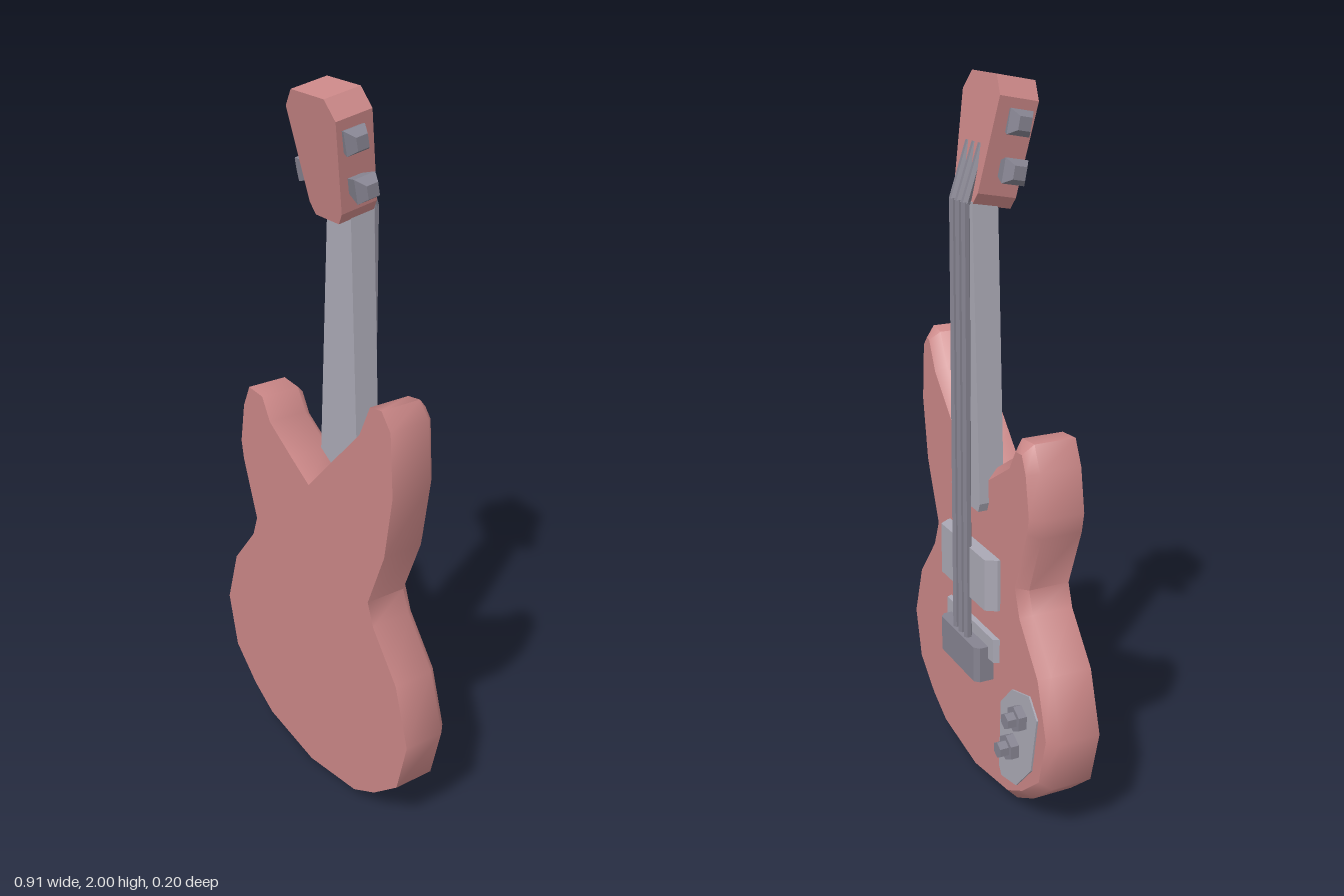
import * as THREE from 'three';
import { toCreasedNormals } from 'three/addons/utils/BufferGeometryUtils.js';

const mat = (name, color) => Object.assign(new THREE.MeshStandardMaterial({ color }), { name });
const V2 = (p) => new THREE.Vector2(p[0], p[1]);

// Body silhouette, counter-clockwise seen from +z
const OUTLINE = [
  [0, 0], [0.22, 0.035], [0.315, 0.09], [0.417, 0.18], [0.457, 0.34], [0.403, 0.51],
  [0.3, 0.64], [0.275, 0.705], [0.343, 0.875], [0.373, 1.06], [0.36, 1.235], [0.322, 1.28],
  [0.275, 1.272], [0.232, 1.18], [0.08, 1.02], [0, 0.935], [-0.085, 0.985], [-0.19, 1.05],
  [-0.227, 1.113], [-0.295, 1.118], [-0.327, 1.05], [-0.348, 0.93], [-0.338, 0.875],
  [-0.275, 0.705], [-0.298, 0.64], [-0.403, 0.51], [-0.457, 0.34], [-0.417, 0.18],
  [-0.315, 0.09], [-0.22, 0.035],
].map(V2);

// Move every corner of a closed outline inwards by d
function inset(pts, d) {
  const n = pts.length;
  return pts.map((p, i) => {
    const a = p.clone().sub(pts[(i + n - 1) % n]).normalize();
    const b = pts[(i + 1) % n].clone().sub(p).normalize();
    const n1 = new THREE.Vector2(-a.y, a.x), n2 = new THREE.Vector2(-b.y, b.x);
    const m = n1.add(n2).normalize();
    return p.clone().addScaledVector(m, d / Math.max(0.6, m.dot(n2)));
  });
}

function fromTriangles(points) {
  const g = new THREE.BufferGeometry().setFromPoints(points);
  g.computeVertexNormals();
  return g;
}

// Prism from a shape in x/y between two z values
function prism(points, z0, z1) {
  const g = new THREE.ExtrudeGeometry(new THREE.Shape(points.map(V2)), { depth: z1 - z0, bevelEnabled: false });
  return g.translate(0, 0, z0);
}

// Block with slanted ends: half-width w at the body, wTop at the outside
function taperedBlock(w, wTop, y0, y1, z0, z1, chamfer = 0) {
  const pts = [[-w, -z0], [w, -z0], [w, -z1 - chamfer], [wTop, -z1], [-wTop, -z1], [-w, -z1 - chamfer]];
  const shape = new THREE.Shape((chamfer ? pts : [pts[0], pts[1], pts[3], pts[4]]).map(V2));
  const g = new THREE.ExtrudeGeometry(shape, { depth: y1 - y0, bevelEnabled: false });
  // shape y becomes -z, depth becomes +y
  return g.rotateX(-Math.PI / 2).translate(0, y0, 0);
}

export function createModel() {
  const model = new THREE.Group();
  const paint = mat('rose paint', 0xc98686);
  const grey = mat('light grey', 0xaaa8b4);
  const metal = mat('dark grey', 0x858390);
  for (const m of [grey, metal]) m.flatShading = true;
  const add = (name, geo, material, parent = model) => {
    const mesh = new THREE.Mesh(geo, material);
    mesh.name = name;
    parent.add(mesh);
    return mesh;
  };

  // Body: smooth sides with one bevel towards the string side, flat faces
  const rings = [[OUTLINE, 0.1], [OUTLINE, -0.018], [inset(OUTLINE, 0.028), -0.045]]
    .map(([pts, z]) => pts.map((p) => new THREE.Vector3(p.x, p.y, z)));
  const sides = [], n = OUTLINE.length;
  for (let r = 0; r < 2; r++) {
    for (let i = 0; i < n; i++) {
      const j = (i + 1) % n, a = rings[r], b = rings[r + 1];
      sides.push(a[i], b[i], b[j], a[i], b[j], a[j]);
    }
  }
  add('bodySides', toCreasedNormals(fromTriangles(sides), 1.0), paint);
  const caps = [];
  for (const [ring, flip] of [[rings[0], false], [rings[2], true]]) {
    for (const f of THREE.ShapeUtils.triangulateShape(ring.map((p) => new THREE.Vector2(p.x, p.y)), [])) {
      const t = f.map((k) => ring[k]);
      caps.push(...(flip ? t.reverse() : t));
    }
  }
  add('bodyFaces', fromTriangles(caps), paint);

  // Neck, widening towards the body
  add('neck', prism([[-0.08, 0.865], [0.08, 0.865], [0.09, 0.89], [0.051, 1.69], [-0.051, 1.69], [-0.09, 0.89]],
    -0.072, 0), grey);

  // Headstock, leaning towards +z, with its tuning pegs
  const headstock = new THREE.Group();
  headstock.name = 'headstock';
  headstock.position.set(0, 1.665, 0.035);
  headstock.rotation.x = 0.18;
  model.add(headstock);
  add('headstockBlock', prism([[-0.05, 0], [0.05, 0], [0.07, 0.03], [0.106, 0.272], [0.07, 0.32],
    [-0.07, 0.32], [-0.106, 0.272], [-0.07, 0.03]], -0.108, 0), paint, headstock);
  const pegGeo = new THREE.LatheGeometry(
    [[0, 0], [0.027, 0], [0.045, 0.052], [0.024, 0.08], [0, 0.08]].map(V2), 4, Math.PI / 4);
  for (const s of [-1, 1]) {
    for (const [x, y] of [[0.075, 0.098], [0.06, 0.215]]) {
      const peg = add('tuningPeg', pegGeo, metal, headstock);
      peg.position.set(s * x, y, -0.045);
      peg.rotation.z = -s * Math.PI / 2;
    }
  }

  // Strings, bent down onto the headstock
  const rod = (name, a, b, r) => {
    const path = new THREE.LineCurve3(new THREE.Vector3(...a), new THREE.Vector3(...b));
    add(name, new THREE.TubeGeometry(path, 1, r, 6), metal);
  };
  for (const x of [-0.036, 0, 0.036]) {
    rod('string', [x, 0.46, -0.084], [x, 1.69, -0.084], 0.012);
    rod('stringEnd', [x, 1.685, -0.084], [x, 1.83, -0.036], 0.012);
  }

  // Pickups and bridge
  add('neckPickup', taperedBlock(0.16, 0.14, 0.6, 0.75, -0.04, -0.083, 0.03), grey);
  add('bridgePickup', taperedBlock(0.16, 0.15, 0.44, 0.51, -0.04, -0.062), grey);
  add('bridge', taperedBlock(0.12, 0.106, 0.37, 0.475, -0.04, -0.1, 0.013), metal);

  // Control plate with two stepped knobs
  add('controlPlate', prism([[-0.175, 0.33], [-0.165, 0.12], [-0.18, 0.095], [-0.27, 0.115], [-0.355, 0.21],
    [-0.385, 0.38], [-0.34, 0.43], [-0.24, 0.4]], -0.05, -0.043), grey);
  for (const [x, y] of [[-0.297, 0.345], [-0.253, 0.232]]) {
    for (const [name, r, z] of [['knobBase', 0.038, -0.074], ['knob', 0.023, -0.1]]) {
      const h = -0.044 - z;
      const geo = new THREE.CylinderGeometry(r, r, h, 6).rotateX(Math.PI / 2);
      add(name, geo, metal).position.set(x, y, z + h / 2);
    }
  }
  return model;
}
